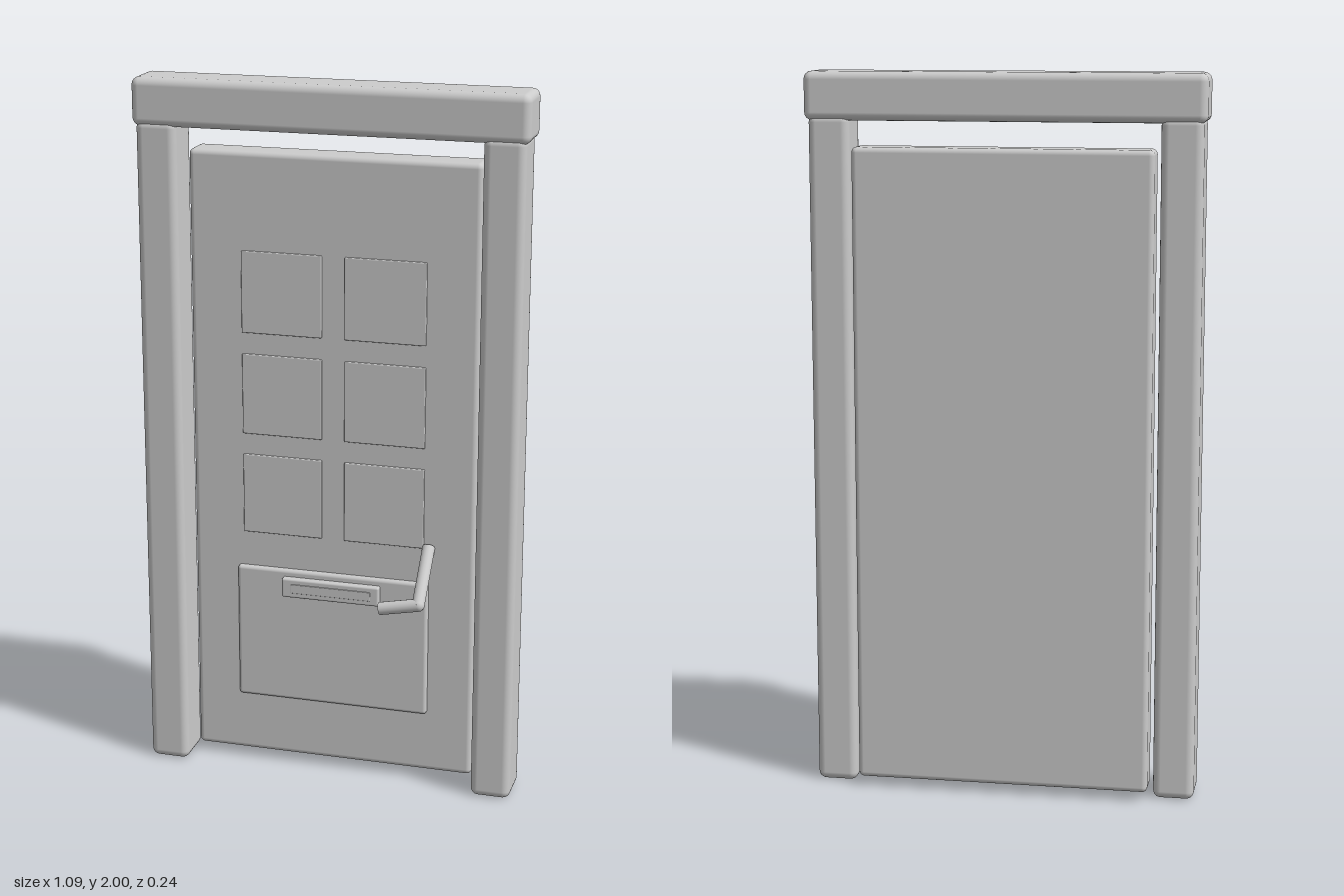
import * as THREE from 'three';
import { RoundedBoxGeometry } from 'three/addons/geometries/RoundedBoxGeometry.js';

export function createModel() {
  const group = new THREE.Group();
  const grey = new THREE.MeshStandardMaterial({ color: 0xcccccc });
  grey.name = 'light grey';

  const add = (name, geometry) => {
    const mesh = new THREE.Mesh(geometry, grey);
    mesh.name = name;
    group.add(mesh);
    return mesh;
  };

  // Rounded block given by its extents on each axis
  const block = (name, [x0, x1], [y0, y1], [z0, z1], radius) => {
    const mesh = add(name, new RoundedBoxGeometry(x1 - x0, y1 - y0, z1 - z0, 3, radius));
    mesh.position.set((x0 + x1) / 2, (y0 + y1) / 2, (z0 + z1) / 2);
  };

  // Round bar between two points
  const bar = (name, a, b, radius) => {
    const dir = b.clone().sub(a);
    const mesh = add(name, new THREE.CylinderGeometry(radius, radius, dir.length(), 16));
    mesh.position.copy(a).add(b).multiplyScalar(0.5);
    mesh.quaternion.setFromUnitVectors(new THREE.Vector3(0, 1, 0), dir.normalize());
  };

  // Frame
  block('lintel', [-0.548, 0.546], [1.868, 2], [-0.095, 0.048], 0.022);
  block('rightPost', [-0.538, -0.424], [0, 1.885], [-0.09, 0.045], 0.022);
  block('leftPost', [0.421, 0.535], [0, 1.885], [-0.09, 0.045], 0.022);

  // Door leaf
  block('door', [-0.412, 0.408], [0.026, 1.8], [-0.123, -0.03], 0.015);

  // Six panes in two columns
  for (const x of [-0.264, 0.031]) {
    for (const y of [0.708, 1.001, 1.294]) {
      block('pane', [x, x + 0.23], [y, y + 0.232], [-0.05, -0.024], 0.003);
    }
  }

  // Lower panel and letter slot
  block('lowerPanel', [-0.282, 0.277], [0.206, 0.606], [-0.06, -0.015], 0.01);
  block('letterPlate', [-0.145, 0.14], [0.53, 0.587], [-0.04, 0.004], 0.006);
  block('letterFlap', [-0.12, 0.115], [0.545, 0.572], [-0.01, 0.006], 0.002);

  // Bent handle
  const base = new THREE.Vector3(0.275, 0.712, -0.032);
  const elbow = new THREE.Vector3(0.278, 0.589, 0.099);
  const tip = new THREE.Vector3(0.168, 0.567, 0.099);
  bar('handleStem', base, elbow, 0.018);
  bar('handleGrip', elbow, tip, 0.018);
  add('handleElbow', new THREE.SphereGeometry(0.018, 16, 12)).position.copy(elbow);

  return group;
}
